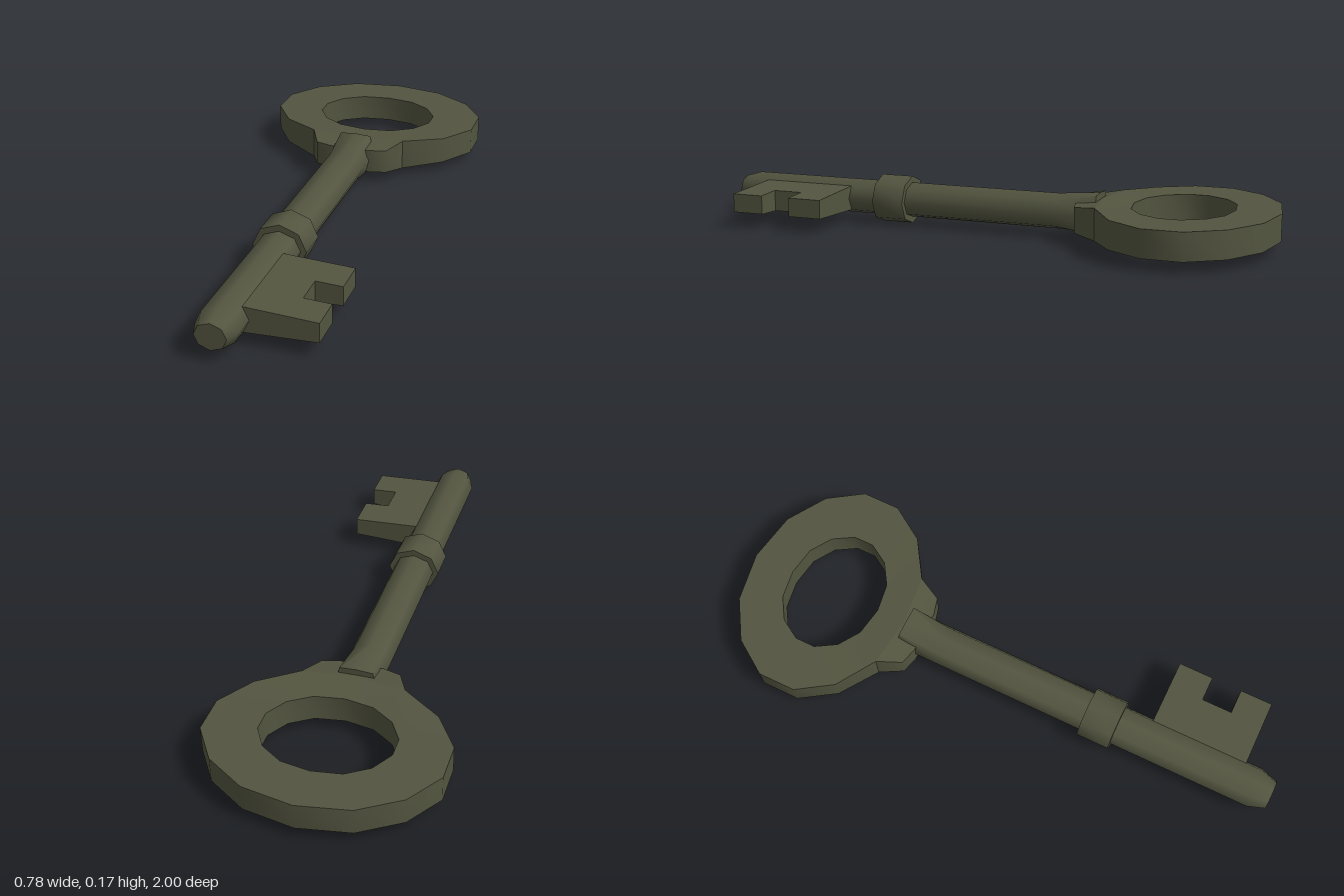
import * as THREE from 'three';
import { toCreasedNormals } from 'three/addons/utils/BufferGeometryUtils.js';

const MID_Y = 0.0865; // height of the key's middle plane

function buildGeometry(pos, idx, crease) {
  const g = new THREE.BufferGeometry();
  g.setAttribute('position', new THREE.Float32BufferAttribute(pos, 3));
  g.setIndex(idx);
  return toCreasedNormals(g, crease);
}

// Join neighbouring loops of n points with quads
function bridge(idx, n, from, to) {
  for (let j = 0; j < n; j++) {
    const k = (j + 1) % n;
    const a = from * n + j, b = from * n + k, c = to * n + k, d = to * n + j;
    idx.push(a, b, c, a, c, d);
  }
}

// Eight-sided loft along z; each ring is [z, side, cornerX, cornerY, top, lift]
function octagonLoft(rings) {
  const pos = [], idx = [];
  for (const [z, s, cx, cy, t, lift] of rings) {
    const loop = [[s, 0], [cx, cy], [0, t], [-cx, cy], [-s, 0], [-cx, -cy], [0, -t], [cx, -cy]];
    for (const [x, y] of loop) pos.push(x, y + lift, z);
  }
  for (let i = 0; i < rings.length - 1; i++) bridge(idx, 8, i, i + 1);
  const last = (rings.length - 1) * 8;
  for (let j = 1; j < 7; j++) {
    idx.push(0, j + 1, j);
    idx.push(last, last + j, last + j + 1);
  }
  return buildGeometry(pos, idx, 1.1);
}

const ring = (z, rx, ry) => [z, rx, rx * Math.SQRT1_2, ry * Math.SQRT1_2, ry, 0];

// Closed band between two matching outlines; sections are [outerX, outerZ, innerX, innerZ, outerHalf, innerHalf]
function band(sections) {
  const pos = [], idx = [];
  for (const [ox, oz, ix, iz, oh, ih] of sections) {
    pos.push(ox, oh, oz, ix, ih, iz, ix, -ih, iz, ox, -oh, oz);
  }
  sections.forEach((_, i) => bridge(idx, 4, i, (i + 1) % sections.length));
  return buildGeometry(pos, idx, 0.8);
}

// Flat plate from a clockwise outline of [x, z] points, with a half thickness given by a rule
function plate(outline, halfThickness) {
  const shape = new THREE.Shape(outline.map(([x, z]) => new THREE.Vector2(x, -z)));
  const g = new THREE.ExtrudeGeometry(shape, { depth: 2, bevelEnabled: false });
  g.translate(0, 0, -1);
  g.rotateX(-Math.PI / 2);
  const p = g.attributes.position;
  for (let i = 0; i < p.count; i++) {
    p.setY(i, p.getY(i) * halfThickness(p.getX(i), p.getZ(i)));
  }
  return toCreasedNormals(g, 1.0);
}

// Complete a half outline by mirroring every point off the centre line
const mirrored = (half) => [
  ...half,
  ...half.filter(([x]) => x > 0).reverse().map(([x, z, ix, ...rest]) => [-x, z, -ix, ...rest]),
];

export function createModel() {
  const group = new THREE.Group();
  group.name = 'key';
  const metal = new THREE.MeshStandardMaterial({ color: 0x535540 });
  metal.name = 'dark olive metal';

  const add = (name, geometry) => {
    const mesh = new THREE.Mesh(geometry, metal);
    mesh.name = name;
    mesh.position.y = MID_Y;
    group.add(mesh);
  };

  // Shaft: flared into a squarer end at the bow, tapered at the tip
  add('shaft', octagonLoft([
    [-0.39, 0.073, 0.057, 0.0675, 0.071, 0.004],
    ring(-0.24, 0.073, 0.0625),
    ring(0.94, 0.073, 0.0625),
    ring(1.0, 0.052, 0.045),
  ]));

  // Collar around the shaft
  add('collar', octagonLoft([ring(0.315, 0.093, 0.0855), ring(0.432, 0.093, 0.0855)]));

  // Bow: oval handle, slightly thicker where the neck begins
  add('bow', band(mirrored([
    [0, -1, 0, -0.85, 0.047, 0.047],
    [0.175, -0.97, 0.1, -0.835, 0.047, 0.047],
    [0.31, -0.885, 0.175, -0.787, 0.047, 0.047],
    [0.39, -0.765, 0.218, -0.715, 0.047, 0.047],
    [0.39, -0.63, 0.218, -0.643, 0.047, 0.047],
    [0.31, -0.508, 0.175, -0.572, 0.048, 0.047],
    [0.175, -0.42, 0.1, -0.523, 0.055, 0.047],
    [0, -0.4, 0, -0.507, 0.055, 0.047],
  ])));

  // Neck: short wedge from the bow towards the shaft
  const { lerp, clamp } = THREE.MathUtils;
  add('neck', plate(
    mirrored([[0, -0.4], [0.175, -0.42], [0.135, -0.338], [0.075, -0.322]]),
    (x, z) => lerp(0.055, 0.043, clamp((z + 0.4) / 0.065, 0, 1)),
  ));

  // Bit: notched blade, thinner towards its outer edge
  add('bit', plate([
    [0, 0.535], [0.29, 0.535], [0.29, 0.658], [0.2, 0.658],
    [0.2, 0.765], [0.29, 0.765], [0.29, 0.88], [0, 0.88],
  ], (x) => lerp(0.046, 0.033, x / 0.29)));

  return group;
}
